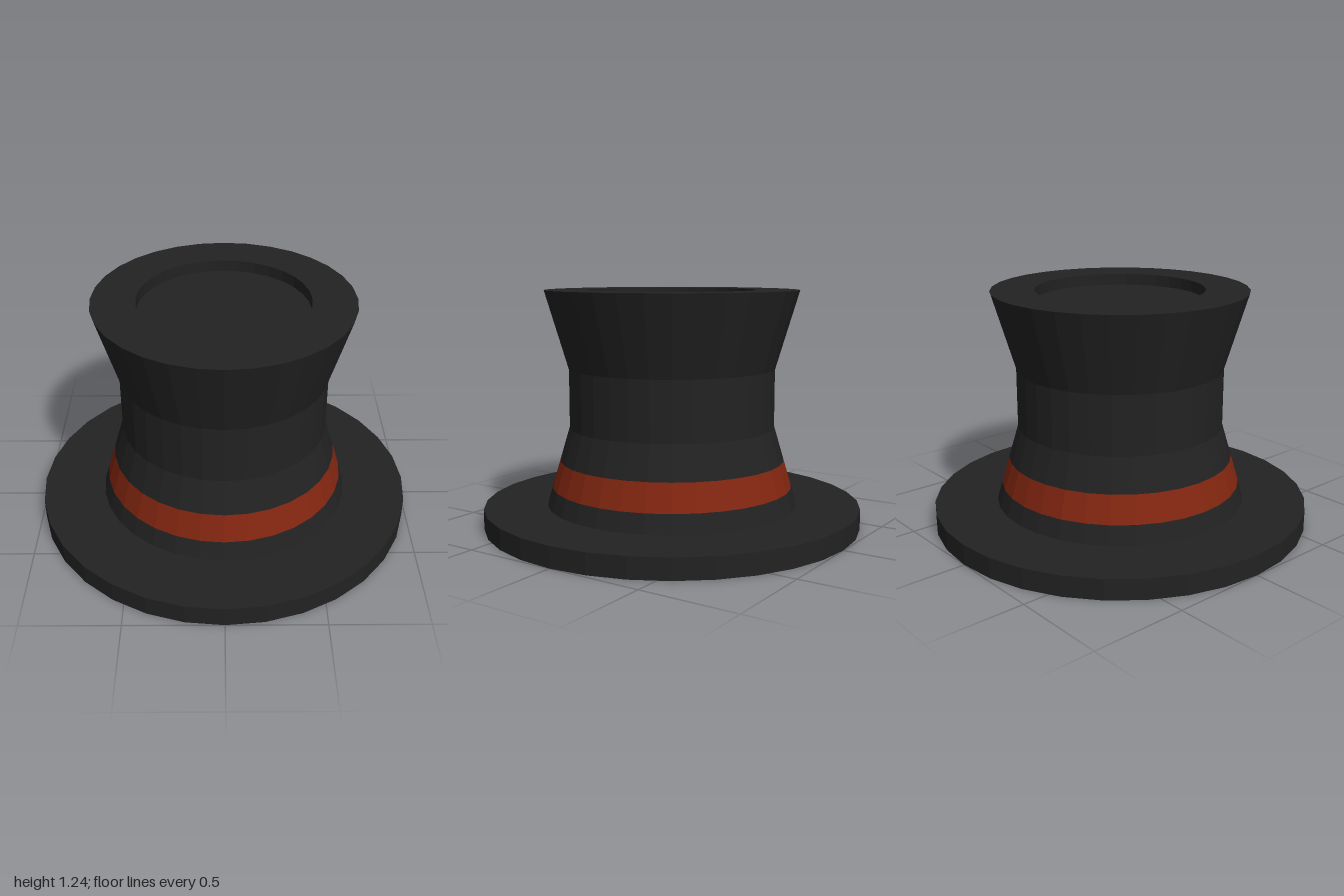
import * as THREE from 'three';

const SIDES = 32;

export function createModel() {
  const felt = new THREE.MeshStandardMaterial({ color: 0x222222 });
  felt.name = 'blackFelt';
  const red = new THREE.MeshStandardMaterial({ color: 0x822610 });
  red.name = 'redRibbon';

  const hat = new THREE.Group();
  hat.name = 'topHat';

  // Faceted turned part; profile points are [radius, y], outside running upward
  function turned(name, material, profile) {
    const points = profile.map(([r, y]) => new THREE.Vector2(r, y));
    const geometry = new THREE.LatheGeometry(points, SIDES).toNonIndexed();
    geometry.computeVertexNormals();
    const mesh = new THREE.Mesh(geometry, material);
    mesh.name = name;
    hat.add(mesh);
  }

  // Radius of the tapering lower crown at a given height
  const taper = (y) => THREE.MathUtils.mapLinear(y, 0.107, 0.52, 0.667, 0.545);
  const ring = (y) => [taper(y), y];

  // Brim with the shallow head opening underneath
  turned('brim', felt, [[0, 0.15], [0.65, 0.15], [0.655, 0], [1, 0], [1, 0.107], [0.66, 0.107]]);

  // Crown below the ribbon, and the ribbon flush with it
  turned('crownBase', felt, [ring(0.107), ring(0.203)]);
  turned('ribbon', red, [ring(0.203), ring(0.345)]);

  // Waisted crown, flaring to a flat rim around a sunken top
  turned('crown', felt, [
    ring(0.345), ring(0.52), [0.545, 0.83], [0.667, 1.24],
    [0.44, 1.24], [0.44, 1.18], [0, 1.18],
  ]);

  return hat;
}
